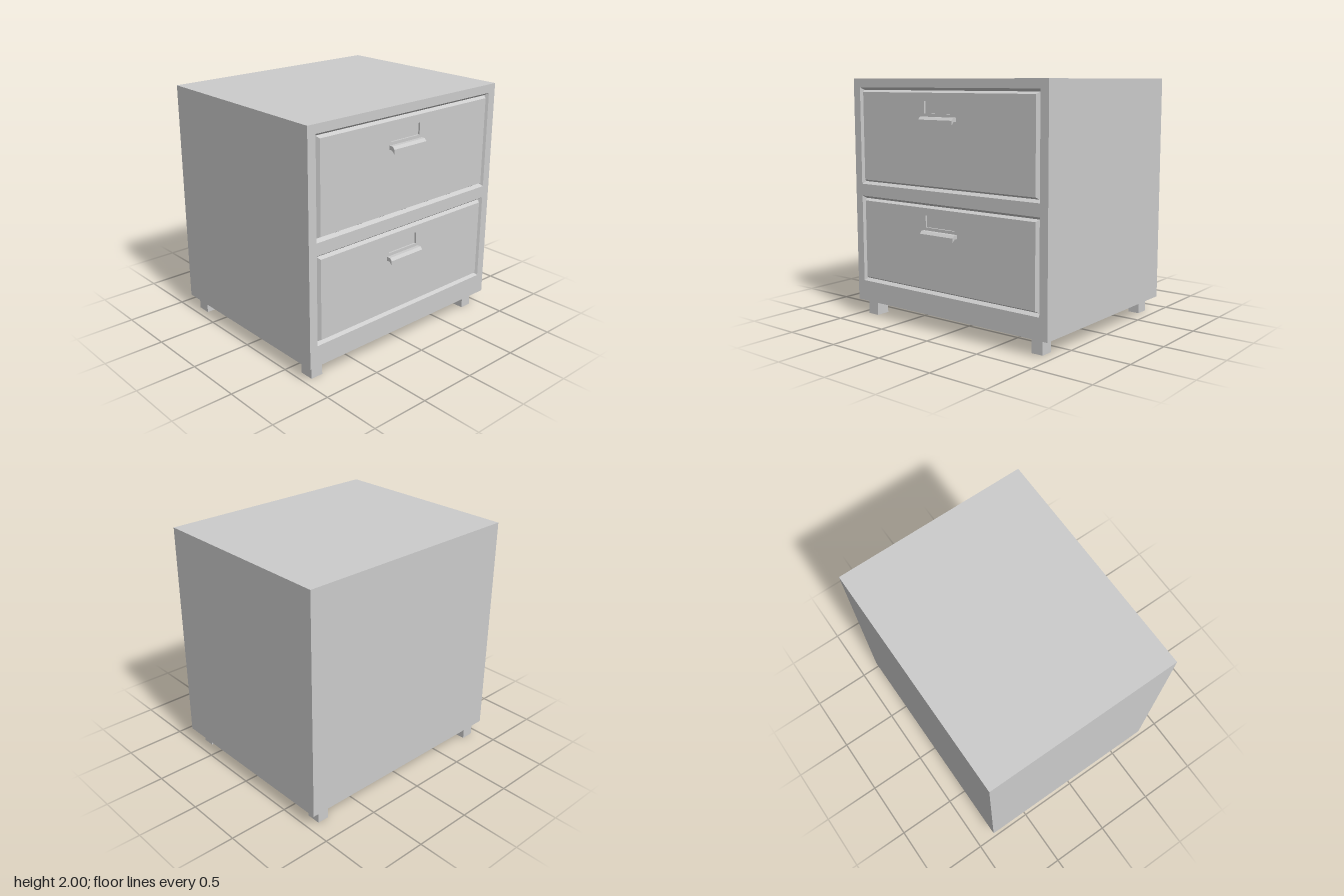
import * as THREE from 'three';

const FRONT = 0.795, BACK = -0.845;
const material = new THREE.MeshStandardMaterial({ color: 0xcccccc, flatShading: true });

// A rectangle is [left, bottom, right, top]; corners run counter-clockwise.
const corners = ([l, b, r, t]) => [[l, b], [r, b], [r, t], [l, t]];
const inset = ([l, b, r, t], d) => [l + d, b + d, r - d, t - d];

function add(parent, name, geometry, x = 0, y = 0, z = 0) {
  const mesh = new THREE.Mesh(geometry, material);
  mesh.name = name;
  mesh.position.set(x, y, z);
  parent.add(mesh);
  return mesh;
}

// Flat rectangular face looking to +z, with rectangular openings
function panel(rect, holes = []) {
  const points = (r) => corners(r).map(([x, y]) => new THREE.Vector2(x, y));
  const shape = new THREE.Shape(points(rect));
  shape.holes = holes.map((h) => new THREE.Path(points(h)));
  return new THREE.ShapeGeometry(shape);
}

// Four-sided walls joining a series of [rectangle, z] sections
function walls(sections) {
  const pos = [];
  for (let s = 0; s + 1 < sections.length; s++) {
    const [A, B] = [sections[s], sections[s + 1]].map(([r, z]) => corners(r).map((p) => [...p, z]));
    for (let i = 0; i < 4; i++) {
      const j = (i + 1) % 4;
      pos.push(...A[i], ...A[j], ...B[j], ...A[i], ...B[j], ...B[i]);
    }
  }
  const geometry = new THREE.BufferGeometry();
  geometry.setAttribute('position', new THREE.Float32BufferAttribute(pos, 3));
  geometry.computeVertexNormals();
  return geometry;
}

// Hooked pull bar, profile drawn in (z, y) and extruded across x
function handleGeometry(width) {
  const profile = [[0, 0.058], [0.03, 0.058], [0.05, 0.037], [0.05, 0], [0.026, 0.026], [0, 0.026]];
  const shape = new THREE.Shape(profile.map(([z, y]) => new THREE.Vector2(z, y)));
  const geometry = new THREE.ExtrudeGeometry(shape, { depth: width, bevelEnabled: false });
  return geometry.rotateY(-Math.PI / 2).translate(width, 0, 0);
}

function createDrawer(name, rect, labelBottom) {
  const drawer = new THREE.Group();
  drawer.name = name;
  const face = inset(rect, 0.038);
  const label = [-0.19, labelBottom, 0.11, labelBottom + 0.095];
  // V-groove around the drawer front
  add(drawer, 'groove', walls([[rect, FRONT], [inset(rect, 0.021), FRONT - 0.03], [face, FRONT]]));
  add(drawer, 'drawerFront', panel(face, [label]), 0, 0, FRONT);
  // Shallow label recess
  add(drawer, 'labelRecessWalls', walls([[label, FRONT], [label, FRONT - 0.015]]));
  add(drawer, 'labelRecessFloor', panel(label), 0, 0, FRONT - 0.015);
  // Pull bar sits just below the label
  const handle = handleGeometry(0.343);
  // Extrusion runs toward -x after turning; recentre on the drawer pull position
  handle.computeBoundingBox();
  handle.translate(-0.208 - handle.boundingBox.min.x, 0, 0);
  add(drawer, 'handle', handle, 0, labelBottom - 0.082, FRONT);
  return drawer;
}

export function createModel() {
  const cabinet = new THREE.Group();
  cabinet.name = 'cabinet';

  const body = [-0.988, 0.13, 0.988, 2];
  const drawers = [
    ['upperDrawer', [-0.916, 1.13, 0.916, 1.93], 1.732],
    ['lowerDrawer', [-0.916, 0.303, 0.916, 1.03], 0.838],
  ];

  // Carcass: side walls, back, and front frame with two openings
  add(cabinet, 'carcassWalls', walls([[body, BACK], [body, FRONT]]));
  add(cabinet, 'backPanel', panel(body).rotateY(Math.PI), 0, 0, BACK);
  add(cabinet, 'frontFrame', panel(body, drawers.map((d) => d[1])), 0, 0, FRONT);
  for (const d of drawers) cabinet.add(createDrawer(...d));

  // Feet: [name, x, z, width, depth]
  const feet = [
    ['frontLeftFoot', 0.853, 0.68, 0.1, 0.104],
    ['frontRightFoot', -0.877, 0.676, 0.106, 0.12],
    ['backLeftFoot', 0.853, -0.743, 0.1, 0.117],
    ['backRightFoot', -0.877, -0.743, 0.106, 0.117],
  ];
  for (const [name, x, z, w, d] of feet) {
    add(cabinet, name, new THREE.BoxGeometry(w, 0.13, d), x, 0.065, z);
  }
  return cabinet;
}
